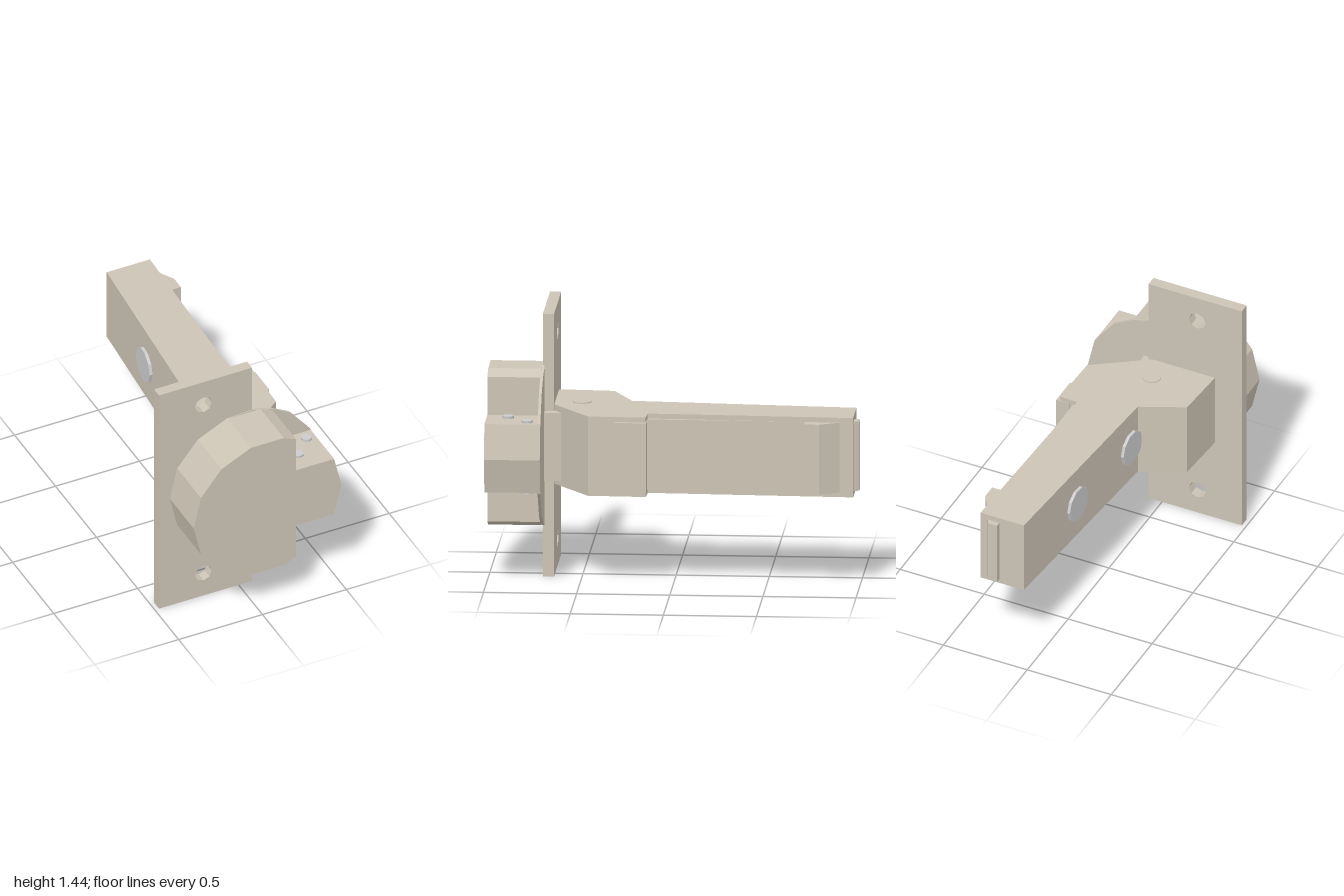
import * as THREE from 'three';

const body = new THREE.MeshStandardMaterial({ color: 0xccc4b5, flatShading: true });
const metal = new THREE.MeshStandardMaterial({ color: 0xcccccc, flatShading: true });
const MID = 0.72; // height of the mirror plane

export function createModel() {
  const group = new THREE.Group();

  const add = (name, geometry, material = body) => {
    const mesh = new THREE.Mesh(geometry, material);
    mesh.name = name;
    group.add(mesh);
    return mesh;
  };
  const toShape = (pts) => new THREE.Shape(pts.map(([x, y]) => new THREE.Vector2(x, y)));
  // Outline in x/y, extruded from z0 to z1
  const slabZ = (shape, z0, z1) =>
    new THREE.ExtrudeGeometry(shape, { depth: z1 - z0, bevelEnabled: false }).translate(0, 0, z0);
  // Outline in x/z, extruded from y0 to y1
  const slabY = (pts, y0, y1) =>
    new THREE.ExtrudeGeometry(toShape(pts.map(([x, z]) => [x, -z])), { depth: y1 - y0, bevelEnabled: false })
      .rotateX(-Math.PI / 2).translate(0, y0, 0);

  // Mounting plate with two screw holes
  const plate = toShape([[-0.475, 0], [0.08, 0], [0.08, 1.44], [-0.475, 1.44]]);
  for (const y of [0.152, 1.288]) {
    const hole = new THREE.Path();
    for (let i = 0; i < 8; i++) {
      const a = (-i * Math.PI) / 4;
      const x = -0.21 + 0.05 * Math.cos(a), hy = y + 0.05 * Math.sin(a);
      if (i) hole.lineTo(x, hy); else hole.moveTo(x, hy);
    }
    hole.closePath();
    plate.holes.push(hole);
  }
  add('mountingPlate', slabZ(plate, 0.65, 0.71));

  // Round cup: a 14-sided drum with two corner notches, mirrored about MID
  const corner = (i) => {
    const a = (i * Math.PI) / 7;
    return [0.03 + 0.44 * Math.cos(a), 0.44 * Math.sin(a)];
  };
  const mirrored = (upper) => {
    const lower = upper.slice(1, -1).reverse().map(([x, y]) => [x, -y]);
    return toShape([...upper, ...lower].map(([x, y]) => [x, y + MID]));
  };
  const leftArc = [3, 4, 5, 6, 7].map(corner);
  add('cup', slabZ(mirrored([corner(0), [0.427, 0.187], [0.2, 0.187], [0.2, 0.396], ...leftArc]), 0.715, 1));
  add('cupBack', slabZ(
    mirrored([corner(0), corner(1), corner(2), [0.2, 0.403], [0.08, 0.438], ...leftArc.slice(1)]), 0.7, 0.715));

  // Neck joining the cup to the arm
  add('neck', slabY([[-0.1, 0.71], [0.135, 0.71], [0.12, 0.58], [-0.1, 0.58]], 0.535, 0.907));

  // Cranked arm
  add('arm', slabY([
    [-0.315, 0.65], [-0.295, 0.35], [-0.055, 0.24], [0.035, -0.97], [0.293, -0.97],
    [0.255, 0.135], [0.36, 0.14], [0.35, 0.45], [0.06, 0.65],
  ], 0.505, 0.94));

  // Raised panel and blocks along the arm
  add('sidePanel', slabY([[0.15, 0.2], [0.28, 0.2], [0.28, -0.71], [0.15, -0.71]], 0.53, 0.913));
  add('sideStop', slabY([[0.3, 0.305], [0.38, 0.305], [0.38, 0.135], [0.3, 0.135]], 0.53, 0.913));
  add('latch', slabY([[0.2, -0.71], [0.35, -0.71], [0.35, -0.79], [0.285, -0.905], [0.2, -0.905]], 0.53, 0.913));
  add('endTip', slabY([[0.18, -0.95], [0.255, -0.95], [0.25, -0.97], [0.235, -1], [0.18, -1]], 0.53, 0.91));

  // Pivot pin through the arm
  add('pivotPin', new THREE.CylinderGeometry(0.05, 0.05, 0.446, 12)).position.set(-0.01, 0.7225, 0.505);

  // Screw heads on the slanted side of the arm
  const slant = Math.atan2(0.09, 1.21);
  for (const z of [0.16, -0.41]) {
    const head = new THREE.CylinderGeometry(0.1, 0.1, 0.04, 10).rotateZ(Math.PI / 2).rotateY(-slant);
    add('screwHead', head, metal).position.set(-0.055 + (0.24 - z) * 0.0744 + 0.003, MID, z);
  }

  // Small pins on both faces of the cup lug
  for (const [x, z] of [[0.373, 0.775], [0.27, 0.883]]) {
    for (const side of [1, -1]) {
      add('lugPin', new THREE.CylinderGeometry(0.03, 0.03, 0.03, 10), metal)
        .position.set(x, MID + side * 0.186, z);
    }
  }

  return group;
}
